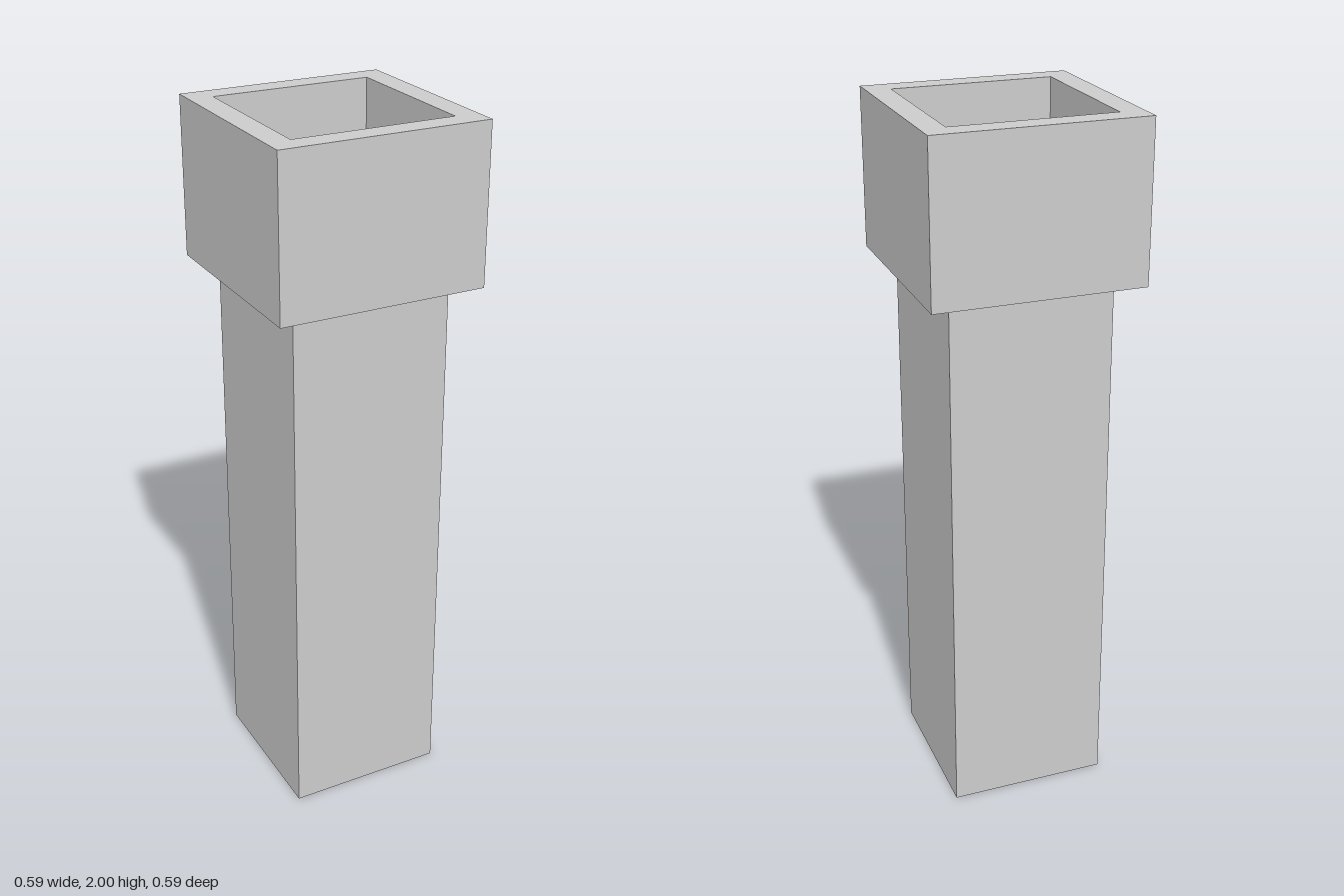
import * as THREE from 'three';

const material = new THREE.MeshStandardMaterial({
  color: 0xcccccc, flatShading: true, side: THREE.DoubleSide,
});

// Sweeps a profile of [half width, height] around a square plan.
function squareLathe(name, profile) {
  const points = profile.map(([half, y]) => new THREE.Vector2(half * Math.SQRT2, y));
  const mesh = new THREE.Mesh(new THREE.LatheGeometry(points, 4, Math.PI / 4), material);
  mesh.name = name;
  return mesh;
}

export function createModel() {
  const group = new THREE.Group();
  group.name = 'squarePost';

  const shaftHalf = 0.228, headHalf = 0.295;
  const headBottom = 1.556, top = 2, recessFloor = 1.83;

  // Hollow shaft, open at the bottom
  group.add(squareLathe('shaft', [[shaftHalf, 0], [shaftHalf, headBottom]]));

  // Wider head: underside ledge, outer walls, rim, recess walls and floor
  group.add(squareLathe('head', [
    [shaftHalf, headBottom], [headHalf, headBottom], [headHalf, top],
    [shaftHalf, top], [shaftHalf, recessFloor], [0, recessFloor],
  ]));

  return group;
}
